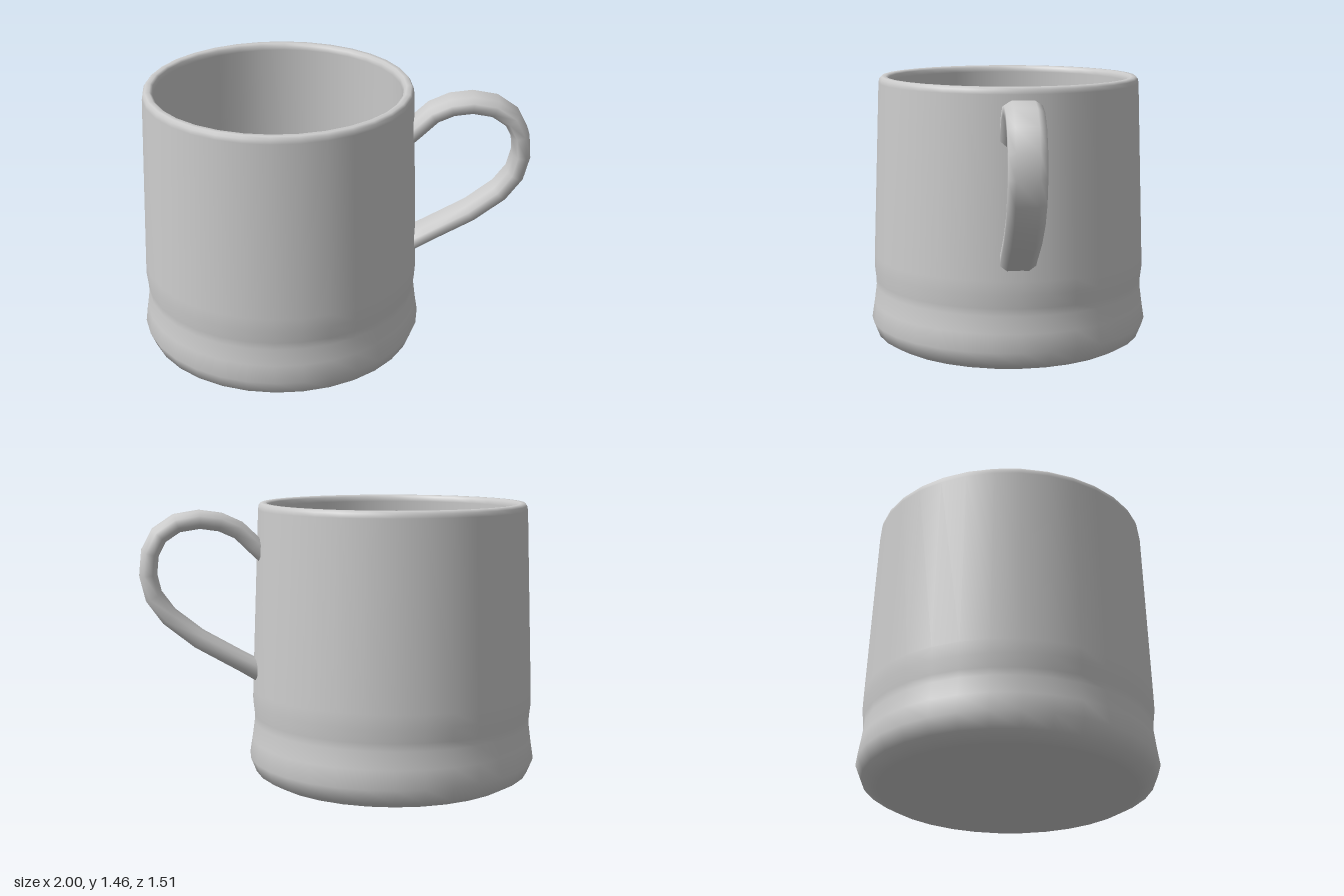
import * as THREE from 'three';

const material = new THREE.MeshStandardMaterial({ color: 0xcccccc });
const vec = ([x, y]) => new THREE.Vector2(x, y);

// Turned body: underside, flared foot, tapered wall, rounded rim, hollow inside
function makeBody() {
  const profile = [
    [0, 0.003], [0.64, 0.022], [0.665, 0.026], [0.725, 0.06], [0.755, 0.135], [0.74, 0.23],
    [0.728, 0.32], [0.729, 0.36], [0.737, 0.43], [0.735, 0.5], [0.699, 1.43], [0.695, 1.452],
    [0.684, 1.465], [0.66, 1.465], [0.647, 1.455], [0.643, 1.43],
    [0.675, 0.5], [0.67, 0.2], [0.65, 0.13], [0.6, 0.1], [0.58, 0.1], [0, 0.1],
  ].map(vec);
  const body = new THREE.Mesh(new THREE.LatheGeometry(profile, 32), material);
  body.name = 'cupBody';
  return body;
}

// Flat band with chamfered edges, swept along a loop (radius from cup axis, height)
function makeHandle() {
  const path = [
    [0.67, 1.205], [0.723, 1.255], [0.8, 1.33], [0.894, 1.373], [1.0, 1.388], [1.115, 1.37],
    [1.205, 1.31], [1.252, 1.22], [1.263, 1.11], [1.237, 1.0], [1.162, 0.895],
    [1.012, 0.775], [0.787, 0.645], [0.69, 0.588],
  ].map(vec);
  const section = [
    [0.045, -0.055], [0.045, 0.055], [0.022, 0.09], [-0.022, 0.09],
    [-0.045, 0.055], [-0.045, -0.055], [-0.022, -0.09], [0.022, -0.09],
  ];
  const n = section.length, last = path.length - 1;
  const positions = [], index = [];

  path.forEach((p, i) => {
    const t = path[Math.min(i + 1, last)].clone().sub(path[Math.max(i - 1, 0)]).normalize();
    let out = new THREE.Vector2(-t.y, t.x);
    // The ends are cut upright so they sit inside the wall
    if (i === 0) out = new THREE.Vector2(0, 1.4);
    if (i === last) out = new THREE.Vector2(0, -1.25);
    for (const [a, b] of section) positions.push(p.x + out.x * a, p.y + out.y * a, b);
  });
  for (let i = 0; i < last; i++) {
    for (let k = 0; k < n; k++) {
      const a = i * n + k, b = i * n + (k + 1) % n;
      index.push(a, b, a + n, b, b + n, a + n);
    }
  }
  const geometry = new THREE.BufferGeometry();
  geometry.setAttribute('position', new THREE.Float32BufferAttribute(positions, 3));
  geometry.setIndex(index);
  geometry.computeVertexNormals();
  const handle = new THREE.Mesh(geometry, material);
  handle.name = 'handle';
  handle.rotation.y = THREE.MathUtils.degToRad(21);
  return handle;
}

export function createModel() {
  const mug = new THREE.Group();
  mug.name = 'mug';
  mug.add(makeBody(), makeHandle());
  mug.position.x = -0.245;
  const model = new THREE.Group();
  model.add(mug);
  return model;
}
